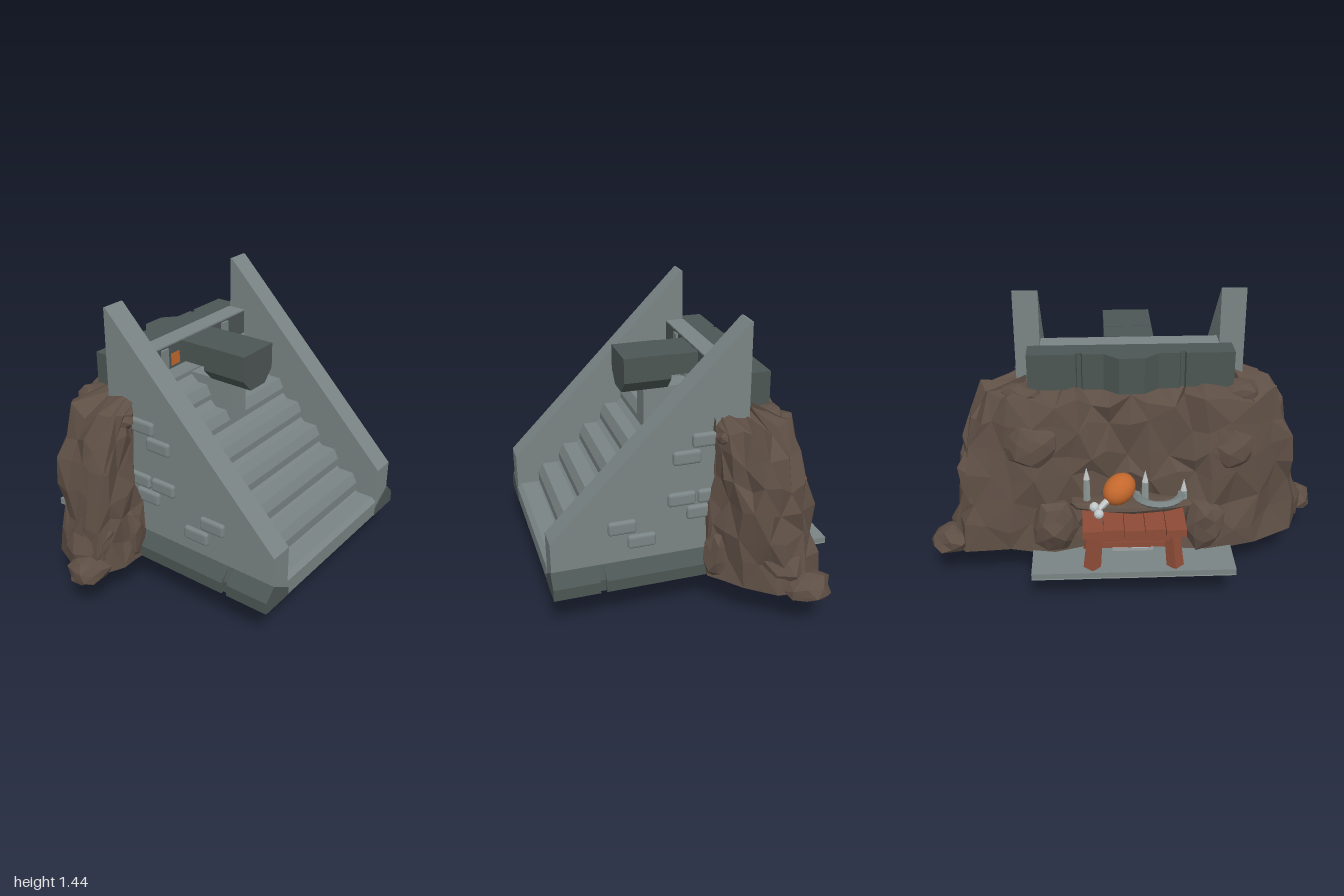
import * as THREE from 'three';
import { RoundedBoxGeometry } from 'three/addons/geometries/RoundedBoxGeometry.js';

const mat = (name, color, flatShading = true) => {
  const m = new THREE.MeshStandardMaterial({ color, flatShading, side: THREE.DoubleSide });
  m.name = name;
  return m;
};

export function createModel() {
  const root = new THREE.Group();
  root.name = 'stairwayWithCave';
  const stone = mat('stone', 0x7a8484), dark = mat('darkStone', 0x4c5654), rock = mat('rock', 0x5e4f45);
  const wood = mat('wood', 0x8e4c37), meat = mat('meat', 0xc4682d, false), bone = mat('bone', 0xc2c6c6);
  const iron = mat('iron', 0x0c1d1c), steel = mat('steel', 0x8f9898), slate = mat('slate', 0x5a6260);

  let seed = 7;
  const rnd = () => { seed = (seed * 16807) % 2147483647; return seed / 2147483647 - 0.5; };

  const add = (name, geo, m, x = 0, y = 0, z = 0, rx = 0, ry = 0, rz = 0) => {
    const mesh = new THREE.Mesh(geo, m);
    mesh.name = name;
    mesh.position.set(x, y, z);
    mesh.rotation.set(rx, ry, rz);
    root.add(mesh);
    return mesh;
  };
  const box = (name, m, x0, x1, y0, y1, z0, z1) =>
    add(name, new THREE.BoxGeometry(x1 - x0, y1 - y0, z1 - z0), m, (x0 + x1) / 2, (y0 + y1) / 2, (z0 + z1) / 2);
  const shapeOf = pts => new THREE.Shape(pts.map(p => new THREE.Vector2(p[0], p[1])));
  const extrude = (s, depth) => new THREE.ExtrudeGeometry(s, { depth, bevelEnabled: false, curveSegments: 8 });
  // (z, y) profile extruded from x0 to x1
  const side = (name, m, pts, x0, x1) => add(name, extrude(shapeOf(pts), x1 - x0).rotateY(-Math.PI / 2), m, x1);
  // (x, z) outline extruded upward from y0 to y1
  const planShape = pts => shapeOf(pts.map(([x, z]) => [x, -z]));
  const plan = (name, m, s, y0, y1) => add(name, extrude(s, y1 - y0).rotateX(-Math.PI / 2), m, 0, y0);
  const rect = (x0, x1, z0, z1) => [[x0, z0], [x1, z0], [x1, z1], [x0, z1]];
  const rod = (name, m, a, b, r0, r1, n = 6) => {
    const A = new THREE.Vector3(...a), d = new THREE.Vector3(...b).sub(A);
    const mesh = add(name, new THREE.CylinderGeometry(r1, r0, d.length(), n), m);
    mesh.position.copy(A).addScaledVector(d, 0.5);
    mesh.quaternion.setFromUnitVectors(new THREE.Vector3(0, 1, 0), d.normalize());
  };

  // Flight of eight steps with chamfered risers and a hollow underside
  const top = [[0.735, 0.2]];
  for (let i = 0; i < 8; i++) {
    const y = 0.3 + 0.107 * i, z = 0.735 - 0.123 * i;
    top.push([z, i ? y - 0.05 : y - 0.02], [z - 0.025, y], [z - 0.123, y]);
  }
  side('steps', stone, [...top, [-0.249, 1.0], [-0.13, 0.98], [0.62, 0.3], [0.66, 0.2]], -0.43, 0.43);

  // Side walls, plinths and raised bricks
  const bricks = [[0.385, 0.505], [0.29, 0.42], [0.09, 0.61], [0.065, 0.825], [-0.03, 0.905], [-0.06, 0.61], [-0.005, 0.53]];
  const plinth = (w, z0, z1, s) => add('plinth', extrude(shapeOf(
    [[s * 0.425, 0.2], [s * w, 0.2], [s * w, 0.26], [s * 0.552, 0.32], [s * 0.425, 0.24]]), z1 - z0), dark, 0, 0, z0);
  for (const s of [1, -1]) {
    const a = s > 0 ? 0.43 : -0.55;
    side('sideWall', stone, [[0.732, 0.2], [0.732, 0.47], [-0.235, 1.45], [-0.245, 1.45], [-0.245, 0.2]], a, a + 0.12);
    plinth(0.612, -0.24, 0.48, s);
    plinth(0.595, 0.48, 0.51, s);
    plinth(0.612, 0.51, 0.737, s);
    for (const [z, y] of bricks) add('brick', new RoundedBoxGeometry(0.04, 0.07, 0.14, 2, 0.015), stone, s * 0.55, y, z);
  }

  // Projecting block joined to the top riser, on its post
  add('headBlock', extrude(shapeOf([[-0.12, 1.18], [0.12, 1.18], [0.12, 1.05], [0.06, 0.985], [-0.06, 0.985], [-0.12, 1.05]]), 0.245), dark);
  box('headNeck', dark, -0.12, 0.12, 1.07, 1.178, -0.14, 0);
  box('headPost', stone, -0.06, 0.06, 0.79, 0.99, -0.13, 0.13);

  // Top landing with dark riser, pegs and coloured plates
  box('landingRiser', dark, -0.43, 0.43, 1.04, 1.172, -0.25, -0.15);
  box('landingTop', stone, -0.43, 0.43, 1.172, 1.18, -0.25, -0.15);
  for (const s of [1, -1]) {
    box('landingPeg', stone, s * 0.245 - 0.024, s * 0.245 + 0.024, 1.05, 1.165, -0.15, -0.138);
    box('landingPlate', s > 0 ? bone : meat, s * 0.16 - 0.032, s * 0.16 + 0.032, 1.06, 1.125, -0.15, -0.148);
  }

  // Lintel beam behind the landing, notched along its back
  const half = [[0, -0.43], [0.06, -0.43], [0.13, -0.37], [0.23, -0.37], [0.235, -0.35], [0.255, -0.35], [0.26, -0.37], [0.49, -0.37], [0.49, -0.25]];
  plan('lintel', dark, planShape([...half, ...half.slice(1).reverse().map(([x, z]) => [-x, z])]), 1.0, 1.18);

  // Rock face: each column gives x, z at the base, middle and top
  const cols = [
    [-.56, -.02, -.56, -.07, -.55, -.08], [-.74, -.02, -.68, -.07, -.58, -.08], [-.88, -.09, -.82, -.1, -.64, -.1],
    [-.89, -.21, -.83, -.23, -.7, -.2], [-.82, -.38, -.8, -.36, -.68, -.32], [-.62, -.5, -.6, -.48, -.57, -.42],
    [-.36, -.56, -.36, -.51, -.35, -.46], [-.22, -.55, -.2, -.48, -.18, -.43], [0, -.46, 0, -.45, 0, -.42],
    [.2, -.5, .2, -.48, .18, -.43], [.38, -.56, .38, -.51, .35, -.46], [.6, -.51, .6, -.49, .57, -.42],
    [.82, -.52, .78, -.47, .67, -.37], [.9, -.44, .83, -.4, .7, -.27], [.89, -.28, .83, -.25, .69, -.17],
    [.78, -.15, .74, -.12, .62, -.1], [.62, -.02, .6, -.07, .56, -.08], [.55, -.02, .55, -.07, .54, -.08]];
  const lerp = THREE.MathUtils.lerp, rows = 6, n = (cols.length - 1) * 2 + 1, pos = [], idx = [];
  for (let r = 0; r <= rows + 1; r++) {
    for (let i = 0; i < n; i++) {
      const p = cols[i >> 1], q = cols[Math.min((i >> 1) + 1, cols.length - 1)];
      const c = p.map((v, k) => lerp(v, q[k], (i % 2) / 2));
      const y = 0.2 + 0.77 * Math.min(r / rows, 1);
      const low = y < 0.66, t = low ? Math.sqrt((y - 0.2) / 0.46) : (y - 0.66) / 0.34, o = low ? 0 : 2;
      let x = lerp(c[o], c[o + 2], t), z = lerp(c[o + 1], c[o + 3], t);
      const j = r === 0 ? 0.01 : 0.05;
      x += rnd() * j; z += rnd() * j;
      if (r > rows) { x = THREE.MathUtils.clamp(x, -0.5, 0.5); z = Math.max(z, -0.27); }
      pos.push(x, r === 0 ? 0.2 : y + rnd() * 0.07 + (r > rows ? 0.05 : 0), z);
      if (r <= rows && i < n - 1) {
        const a = r * n + i, b = a + n;
        if ((r + i) % 2) idx.push(a, b, a + 1, a + 1, b, b + 1);
        else idx.push(a, b, b + 1, a, b + 1, a + 1);
      }
    }
  }
  const cliff = new THREE.BufferGeometry();
  cliff.setAttribute('position', new THREE.Float32BufferAttribute(pos, 3));
  cliff.setIndex(idx);
  cliff.computeVertexNormals();
  add('rockFace', cliff, rock);

  // Boulders and ledges: jittered low-poly lumps [x, y, z, sx, sy, sz]
  const boulder = ([x, y, z, sx, sy, sz]) => {
    const g = new THREE.IcosahedronGeometry(1, 1), p = g.attributes.position, seen = {};
    for (let i = 0; i < p.count; i++) {
      const v = new THREE.Vector3().fromBufferAttribute(p, i);
      const k = v.toArray().map(e => Math.round(e * 100)).join();
      seen[k] ??= 1 + rnd() * 0.3;
      v.multiplyScalar(seen[k]);
      p.setXYZ(i, v.x * sx, Math.max(v.y * sy, 0.2 - y), v.z * sz);
    }
    g.computeVertexNormals();
    add('boulder', g, rock, x, y, z);
  };
  [[-.77, .3, -.2, .12, .19, .15], [.77, .3, -.36, .12, .19, .15],
    [-.88, .22, -.12, .11, .08, .1], [.89, .22, -.43, .1, .08, .12],
    [.59, .92, -.13, .06, .05, .06], [-.59, .92, -.13, .06, .05, .06],
    [.53, .97, -.35, .1, .06, .07], [-.53, .97, -.35, .1, .06, .07],
    [.48, .75, -.45, .13, .12, .08], [-.46, .72, -.45, .13, .12, .08],
    [0, .465, -.52, .32, .03, .09], [-.35, .34, -.53, .11, .14, .08], [.38, .34, -.53, .11, .14, .08],
    [.62, .3, -.08, .07, .16, .075], [-.62, .3, -.08, .07, .16, .075]].forEach(boulder);

  // Floor plate with a hatch, slate underside, pale edging and iron grating
  const frame = (name, m, [x, z0, z1], [hx, h0, h1], y0, y1) => {
    const s = planShape(rect(-x, x, z0, z1));
    s.holes.push(new THREE.Path(planShape(rect(-hx, hx, h0, h1)).getPoints()));
    plan(name, m, s, y0, y1);
  };
  const hatch = [0.2, -0.4, -0.1], hatchRim = [0.23, -0.43, -0.07], panel = [0.44, -0.685, 0.2];
  frame('floorPlate', stone, [0.49, -0.735, 0.25], hatch, 0.18, 0.208);
  frame('floorEdging', steel, [0.49, -0.735, 0.25], panel, 0.174, 0.18);
  frame('floorUnderside', slate, panel, hatchRim, 0.177, 0.18);
  frame('hatchRim', steel, hatchRim, hatch, 0.174, 0.18);
  for (const z of [-0.11, -0.2, -0.29, -0.38]) box('gratingBar', iron, -0.445, 0.445, 0.152, 0.174, z - 0.013, z + 0.013);
  for (let i = -3; i <= 3; i++) box('gratingBar', iron, i * 0.12 - 0.013, i * 0.12 + 0.013, 0.153, 0.173, -0.455, -0.03);

  // Hanging shield, bone and wooden pegs under the hatch
  const shieldShape = k => {
    const s = new THREE.Shape();
    s.moveTo(-0.14 * k, 0.075 * k);
    s.lineTo(0.14 * k, 0.075 * k);
    s.quadraticCurveTo(0.1 * k, -0.03 * k, -0.04 * k, -0.088 * k);
    s.quadraticCurveTo(-0.12 * k, -0.04 * k, -0.14 * k, 0.075 * k);
    return s;
  };
  add('shieldRim', extrude(shieldShape(1), 0.035), dark, 0, 0.097, -0.225);
  add('shieldBoard', extrude(shieldShape(0.74), 0.043), wood, 0, 0.108, -0.229);
  add('shieldBand', new THREE.BoxGeometry(0.018, 0.14, 0.047), dark, -0.01, 0.095, -0.2075, 0, 0, -0.25);
  add('hangingBone', new THREE.BoxGeometry(0.045, 0.1, 0.016), bone, 0.085, 0.08, -0.25, 0, 0, 0.5);
  for (const s of [1, -1]) box('peg', wood, s * 0.17 - 0.024, s * 0.17 + 0.024, 0.12, 0.155, -0.25, -0.18);

  // Plank table with splayed legs
  for (let i = 0; i < 5; i++) box('tablePlank', wood, -0.245 + i * 0.098, -0.15 + i * 0.098, 0.4, 0.44, -0.735 + (i % 2) * 0.008, -0.5);
  for (const s of [1, -1]) {
    rod('tableLeg', wood, [s * 0.2, 0.205, -0.685], [s * 0.18, 0.41, -0.645], 0.042, 0.036, 4);
    rod('tableLeg', wood, [s * 0.2, 0.205, -0.53], [s * 0.18, 0.41, -0.56], 0.042, 0.036, 4);
  }
  box('tableRail', wood, -0.19, 0.19, 0.345, 0.385, -0.68, -0.65);
  box('tableStretcher', wood, -0.18, 0.18, 0.27, 0.3, -0.62, -0.595);
  rod('bundle', bone, [-0.1, 0.25, -0.56], [0.1, 0.25, -0.56], 0.035, 0.035, 8);

  // Roast with bone, beside a half-buried ring
  const roast = add('roast', new THREE.SphereGeometry(0.07, 16, 12), meat, 0.065, 0.57, -0.57, 0, 0.65, -0.45);
  roast.scale.set(1.25, 1, 1);
  rod('roastBone', bone, [0.11, 0.54, -0.6], [0.165, 0.51, -0.65], 0.017, 0.014);
  for (const [x, y, z] of [[0.185, 0.52, -0.645], [0.165, 0.5, -0.675]]) add('boneKnob', new THREE.IcosahedronGeometry(0.024, 1), bone, x, y, z);
  add('ring', new THREE.TorusGeometry(0.11, 0.02, 5, 12, Math.PI), stone, -0.13, 0.5, -0.5, -Math.PI / 2);

  // Pointed spikes standing on the ledge
  for (const [x, z, h] of [[0.22, -0.52, 0.14], [-0.06, -0.54, 0.13], [-0.25, -0.51, 0.06]]) {
    rod('spikeShaft', steel, [x, 0.46, z], [x, 0.46 + h, z], 0.02, 0.017);
    rod('spikeTip', bone, [x, 0.46 + h, z], [x, 0.52 + h, z], 0.017, 0.001);
  }
  return root;
}
